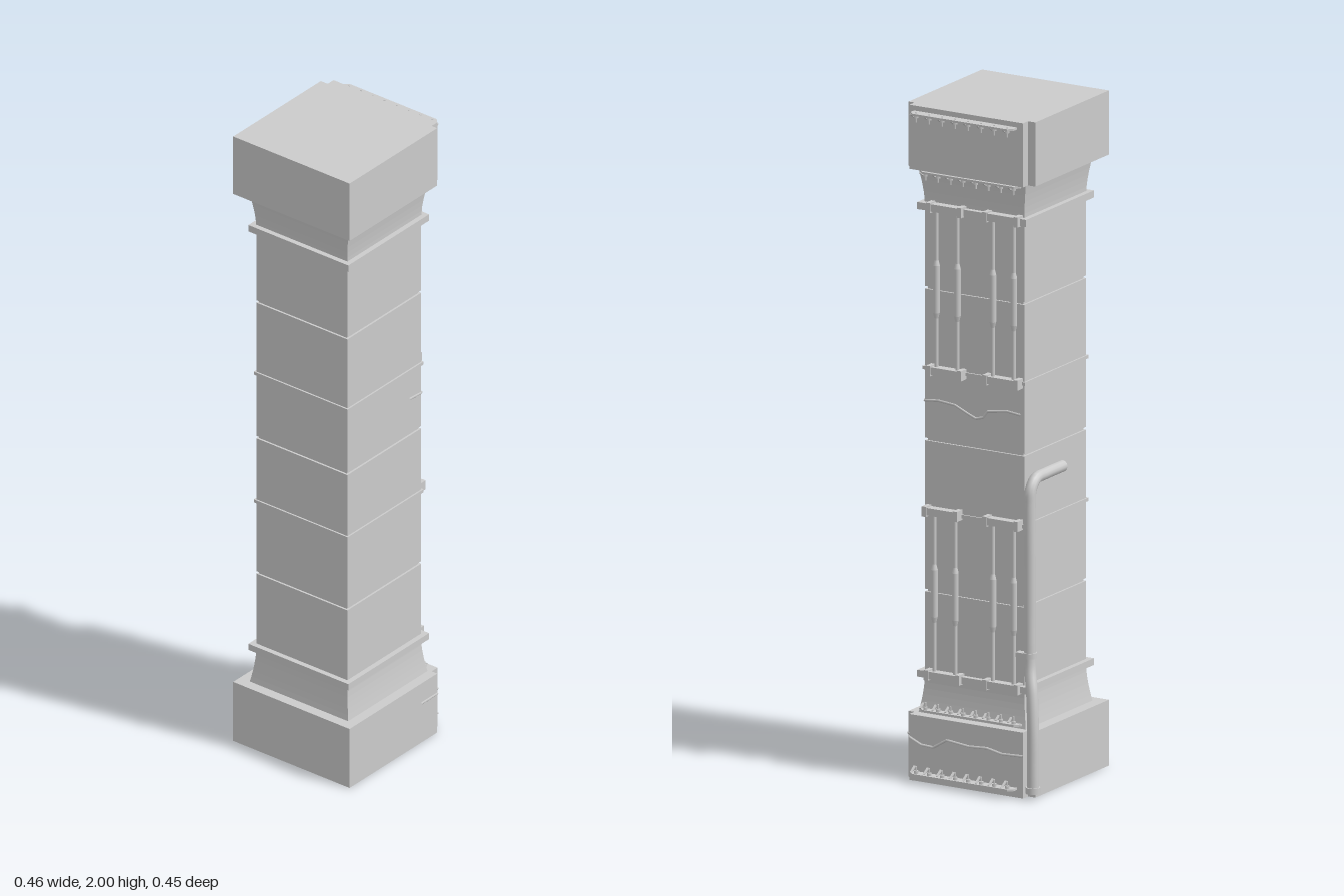
import * as THREE from 'three';

const grey = new THREE.MeshStandardMaterial({ color: 0xcccccc });
const CX = -0.017, CZ = 0.01;        // shaft centre
const W = 0.337, D = 0.333;          // shaft section
const FACE = CX + W / 2;             // fitted-out side of the shaft
const BLOCK = 0.197;                 // same side on the base and cap

export function createModel() {
  const root = new THREE.Group();

  const add = (name, geometry, x = 0, y = 0, z = 0, parent = root) => {
    const mesh = new THREE.Mesh(geometry, grey);
    mesh.name = name;
    mesh.position.set(x, y, z);
    parent.add(mesh);
    return mesh;
  };
  const group = (name) => {
    const g = new THREE.Group();
    g.name = name;
    root.add(g);
    return g;
  };
  // square slab around the shaft, grown outward by "out"
  const slab = (name, y0, y1, out) =>
    add(name, new THREE.BoxGeometry(W + 2 * out, y1 - y0, D + 2 * out), CX, (y0 + y1) / 2, CZ);

  // base and cap blocks with two notched corners
  const outline = new THREE.Shape([
    [-0.23, -0.22], [0.17, -0.22], [0.17, -0.2], [BLOCK, -0.2],
    [BLOCK, 0.18], [0.17, 0.18], [0.17, 0.205], [-0.23, 0.205],
  ].map(([x, y]) => new THREE.Vector2(x, y)));
  const block = (name, y0, y1) => {
    const geo = new THREE.ExtrudeGeometry(outline, { depth: y1 - y0, bevelEnabled: false });
    geo.rotateX(-Math.PI / 2);
    add(name, geo, 0, y0, 0);
  };
  block('base', 0, 0.195);
  block('cap', 1.81, 2);

  // shaft drums separated by recessed joints
  const joints = [0.25, 0.555, 1.003, 1.452, 1.75];
  for (let i = 0; i < joints.length - 1; i++) {
    slab('shaftBlock', joints[i] + 0.004, joints[i + 1] - 0.004, 0);
  }
  slab('shaftCore', 0.2, 1.8, -0.006);

  // concave flares next to the base and the cap
  const flare = (name, y0, y1, grow, wideAtTop) => {
    let geo = new THREE.BoxGeometry(W, y1 - y0, D, 1, 6, 1);
    const p = geo.attributes.position;
    for (let i = 0; i < p.count; i++) {
      const t = p.getY(i) / (y1 - y0) + 0.5;
      const out = grow * Math.pow(wideAtTop ? t : 1 - t, 1.6);
      p.setX(i, p.getX(i) + Math.sign(p.getX(i)) * out);
      p.setZ(i, p.getZ(i) + Math.sign(p.getZ(i)) * out);
    }
    geo = geo.toNonIndexed();
    geo.computeVertexNormals();
    add(name, geo, CX, (y0 + y1) / 2, CZ);
  };
  flare('lowerFlare', 0.195, 0.3, 0.013, false);
  flare('upperFlare', 1.7, 1.81, 0.014, true);

  // collars and thin straps
  slab('lowerCollar', 0.3, 0.32, 0.016);
  slab('upperCollar', 1.685, 1.706, 0.016);
  slab('lowerStrap', 0.787, 0.797, 0.005);
  slab('upperStrap', 1.21, 1.22, 0.005);

  // clamped pairs of conduit rods
  const conduitPair = (z, y0, y1, topShift) => {
    const g = group('conduitPair');
    const rx = FACE + 0.011, mid = (y0 + y1) / 2;
    for (const dz of [-0.035, 0.035]) {
      add('rod', new THREE.CylinderGeometry(0.006, 0.006, y1 - y0 - 0.02, 8), rx, mid, z + dz, g);
      add('sleeve', new THREE.CylinderGeometry(0.01, 0.01, 0.14, 8), rx, mid, z + dz, g);
      for (const s of [-1, 1]) {
        const cone = add('sleeveEnd', new THREE.CylinderGeometry(0.006, 0.01, 0.016, 8), rx, mid + s * 0.078, z + dz, g);
        if (s < 0) cone.rotation.x = Math.PI;
      }
    }
    for (const [y, shift] of [[y0 + 0.015, 0], [y1 - 0.014, topShift]]) {
      add('clamp', new THREE.BoxGeometry(0.026, 0.022, 0.115), FACE + 0.013, y, z + shift, g);
      for (const s of [-1, 1]) {
        add('clampEnd', new THREE.BoxGeometry(0.032, 0.03, 0.014), FACE + 0.014, y, z + shift + s * 0.052, g);
      }
    }
  };
  conduitPair(0.096, 1.2, 1.712, 0);
  conduitPair(-0.093, 1.2, 1.712, 0);
  conduitPair(0.103, 0.297, 0.81, 0.007);
  conduitPair(-0.093, 0.297, 0.81, 0);

  // thin chamfered shelves carrying rows of spikes
  const spikedRail = (x, y, depth, z0, z1, dir) => {
    const g = group('spikedRail');
    const c = 0.014;
    const shape = new THREE.Shape([
      [0, z0], [depth - c, z0], [depth, z0 + c], [depth, z1 - c], [depth - c, z1], [0, z1],
    ].map(([px, pz]) => new THREE.Vector2(px, -pz)).reverse());
    const plate = new THREE.ExtrudeGeometry(shape, { depth: 0.006, bevelEnabled: false });
    plate.rotateX(-Math.PI / 2);
    add('shelf', plate, x, y - 0.003, 0, g);
    for (let i = 0; i < 8; i++) {
      const z = z0 + 0.02 + (z1 - z0 - 0.04) * i / 7;
      add('spike', new THREE.CylinderGeometry(0.003, 0.003, 0.03, 6), x + depth * 0.65, y + dir * 0.009, z, g);
      add('nut', new THREE.CylinderGeometry(0.007, 0.007, 0.01, 6), x + depth * 0.65, y + dir * 0.006, z, g);
      const brace = add('brace', new THREE.BoxGeometry(depth * 0.8, 0.004, 0.006), x + depth * 0.35, y + dir * 0.01, z + 0.018, g);
      brace.rotation.z = -dir * 0.6;
    }
  };
  spikedRail(BLOCK - 0.002, 1.982, 0.034, -0.16, 0.185, -1);
  spikedRail(FACE + 0.005, 1.8, 0.028, -0.155, 0.18, -1);
  spikedRail(FACE + 0.005, 0.206, 0.028, -0.155, 0.18, 1);
  spikedRail(BLOCK - 0.002, 0.026, 0.034, -0.16, 0.185, 1);

  // thin irregular cables that turn the front corner
  const polyline = (points) => {
    const path = new THREE.CurvePath();
    const v = points.map((p) => new THREE.Vector3(...p));
    for (let i = 0; i < v.length - 1; i++) path.add(new THREE.LineCurve3(v[i], v[i + 1]));
    return path;
  };
  const cable = (name, points) => add(name, new THREE.TubeGeometry(polyline(points), 90, 0.004, 5));
  const fx = FACE + 0.001, fz = CZ + D / 2 + 0.001;
  cable('upperCable', [
    [0.095, 1.122, fz], [0.125, 1.12, fz], [fx, 1.118, fz], [fx, 1.123, 0.13], [fx, 1.118, 0.075],
    [fx, 1.1, 0.035], [fx, 1.088, 0.005], [fx, 1.095, -0.02], [fx, 1.115, -0.035], [fx, 1.125, -0.1],
    [fx, 1.12, -0.145],
  ]);
  const bx = BLOCK + 0.001;
  cable('lowerCable', [
    [0.095, 0.13, 0.221], [0.171, 0.13, 0.221], [0.171, 0.13, 0.201], [bx, 0.128, 0.201],
    [bx, 0.11, 0.16], [bx, 0.108, 0.12], [bx, 0.136, 0.075], [bx, 0.128, 0.0],
    [bx, 0.132, -0.06], [bx, 0.122, -0.11], [bx, 0.125, -0.18],
  ]);

  // drain pipe on the rear corner, bending along the back at its top
  const pipe = new THREE.CatmullRomCurve3([
    [0.186, 0.02, -0.207], [0.186, 0.1, -0.207], [0.183, 0.21, -0.205], [0.172, 0.31, -0.195],
    [0.158, 0.38, -0.18], [0.156, 0.46, -0.178], [0.156, 0.65, -0.178], [0.156, 0.86, -0.178],
    [0.15, 0.905, -0.178], [0.125, 0.931, -0.178], [0.08, 0.934, -0.178], [-0.02, 0.934, -0.178],
  ].map((p) => new THREE.Vector3(...p)), false, 'centripetal');
  add('drainPipe', new THREE.TubeGeometry(pipe, 90, 0.017, 12));
  add('pipeFoot', new THREE.CylinderGeometry(0.021, 0.021, 0.018, 12), 0.186, 0.026, -0.207);
  add('pipeCollar', new THREE.CylinderGeometry(0.021, 0.021, 0.016, 12), 0.156, 0.415, -0.178);
  add('pipeBracket', new THREE.BoxGeometry(0.03, 0.014, 0.04), 0.158, 0.415, -0.16);
  const end = add('pipeEnd', new THREE.CylinderGeometry(0.017, 0.017, 0.004, 12), -0.02, 0.934, -0.178);
  end.rotation.z = Math.PI / 2;

  return root;
}
